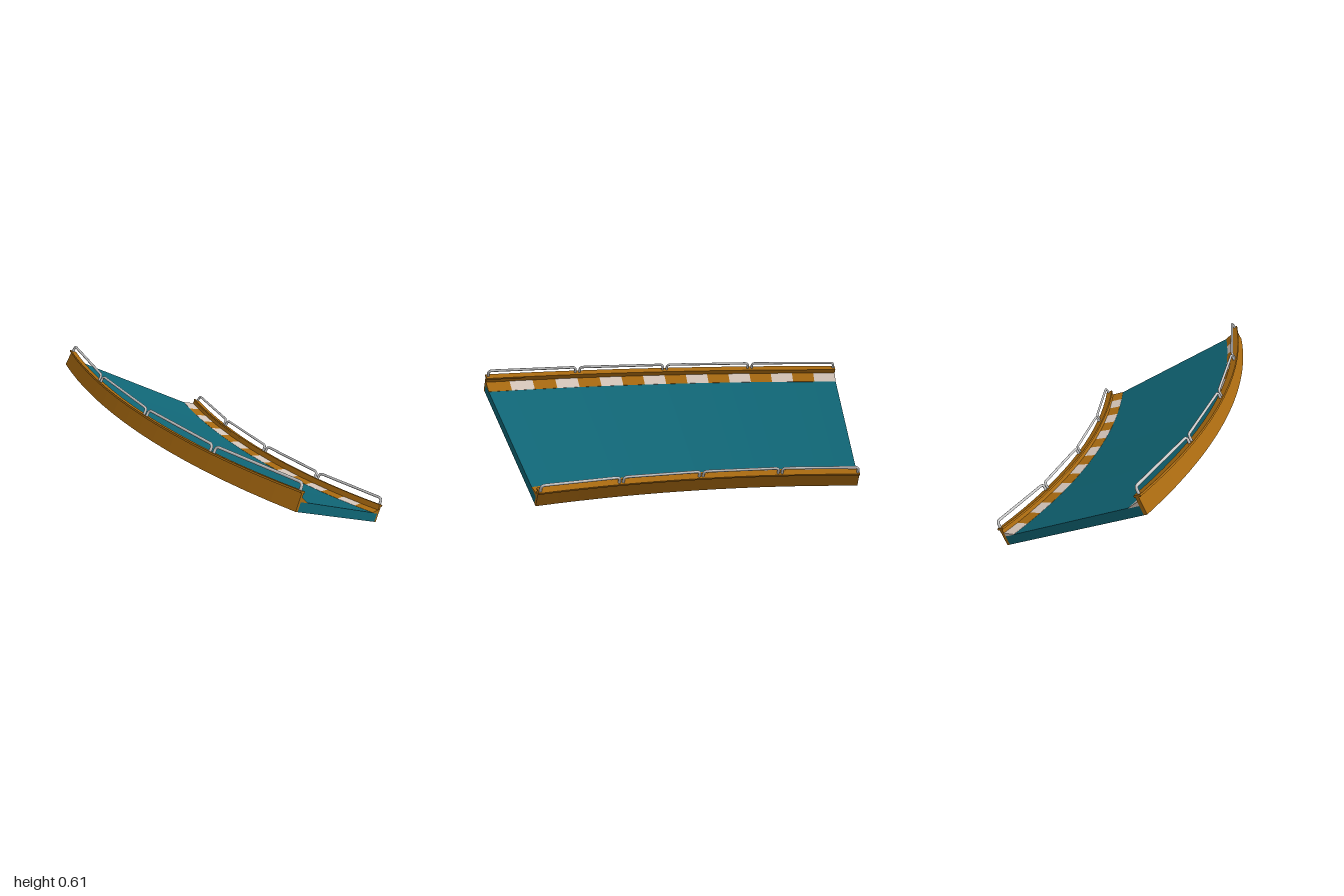
import * as THREE from 'three';

const C = 2.644;                        // turning centre at (C, -C)
const R_IN = 3.36, WIDTH = 0.981;       // inner bottom radius, width along the bank
const COS = Math.cos(Math.PI / 6), SIN = 0.5; // bank of 30 degrees
const START = Math.PI / 6, SWEEP = Math.PI / 6;
const STEPS = 16;

const teal = new THREE.MeshStandardMaterial({ color: 0x106676 });
const amber = new THREE.MeshStandardMaterial({ color: 0xa96a10 });
const pale = new THREE.MeshStandardMaterial({ color: 0xd6c6ba });
const grey = new THREE.MeshStandardMaterial({ color: 0xcccccc });

// Bank coordinates (a along the slope, n perpendicular to it) to radius and height
const section = (a, n) => new THREE.Vector2(R_IN + a * COS - n * SIN, a * SIN + n * COS);

// Radius, height and angle to a point in space
const place = (r, y, angle) =>
  new THREE.Vector3(C - r * Math.cos(angle), y, -C + r * Math.sin(angle));

// Sweep a closed section around the turn, between fractions t0 and t1
function sweep(name, points, material, t0 = 0, t1 = 1, steps = STEPS) {
  const shape = new THREE.Shape(points.map(([a, n]) => section(a, n)));
  const geo = new THREE.ExtrudeGeometry(shape, { depth: 1, steps, bevelEnabled: false });
  const pos = geo.attributes.position;
  for (let i = 0; i < pos.count; i++) {
    const t = t1 + (t0 - t1) * pos.getZ(i);
    const p = place(pos.getX(i), pos.getY(i), START + SWEEP * t);
    pos.setXYZ(i, p.x, p.y, p.z);
  }
  geo.computeVertexNormals();
  const mesh = new THREE.Mesh(geo, material);
  mesh.name = name;
  return mesh;
}

// One hoop of bent tube, straight between its two posts
function railHoop(a, t0, t1) {
  const point = (n, t) => {
    const s = section(a, n);
    return place(s.x, s.y, START + SWEEP * t);
  };
  const corners = [point(0.095, t0), point(0.134, t0), point(0.134, t1), point(0.095, t1)];
  const path = new THREE.CurvePath();
  let from = corners[0];
  for (let i = 1; i < 3; i++) {
    const bend = 0.02;
    const toward = (p) => corners[i].clone().add(
      p.clone().sub(corners[i]).setLength(bend));
    const enter = toward(corners[i - 1]), leave = toward(corners[i + 1]);
    path.add(new THREE.LineCurve3(from, enter));
    path.add(new THREE.QuadraticBezierCurve3(enter, corners[i], leave));
    from = leave;
  }
  path.add(new THREE.LineCurve3(from, corners[3]));
  const mesh = new THREE.Mesh(new THREE.TubeGeometry(path, 80, 0.0075, 8), grey);
  mesh.name = 'railHoop';
  return mesh;
}

export function createModel() {
  const model = new THREE.Group();
  model.name = 'bankedTrackCurve';

  // Road slab between the side walls
  model.add(sweep('roadDeck',
    [[0.02, 0], [WIDTH - 0.02, 0], [WIDTH - 0.02, 0.049], [0.02, 0.049]], teal));

  for (const side of ['inner', 'outer']) {
    const group = new THREE.Group();
    group.name = side + 'Edge';
    const at = (a) => (side === 'inner' ? a : WIDTH - a);
    const mirror = (points) => points.map(([a, n]) => [at(a), n]);

    // Side wall with an overhanging cap
    group.add(sweep('wall', mirror([[0, 0], [0.02, 0], [0.02, 0.09], [0, 0.09]]), amber));
    group.add(sweep('wallCap',
      mirror([[-0.014, 0.089], [0.027, 0.089], [0.027, 0.099], [-0.014, 0.099]]), amber));

    // Striped kerb, alternating colours
    const kerb = mirror([[0.02, 0.047], [0.087, 0.047], [0.087, 0.05], [0.02, 0.068]]);
    for (let i = 0; i < STEPS; i++) {
      group.add(sweep('kerbStripe', kerb, i % 2 ? amber : pale, i / STEPS, (i + 1) / STEPS, 1));
    }

    // Four rail hoops on top of the wall
    for (let i = 0; i < 4; i++) {
      group.add(railHoop(at(0.002), i / 4 + 0.006, (i + 1) / 4 - 0.006));
    }
    model.add(group);
  }
  return model;
}
